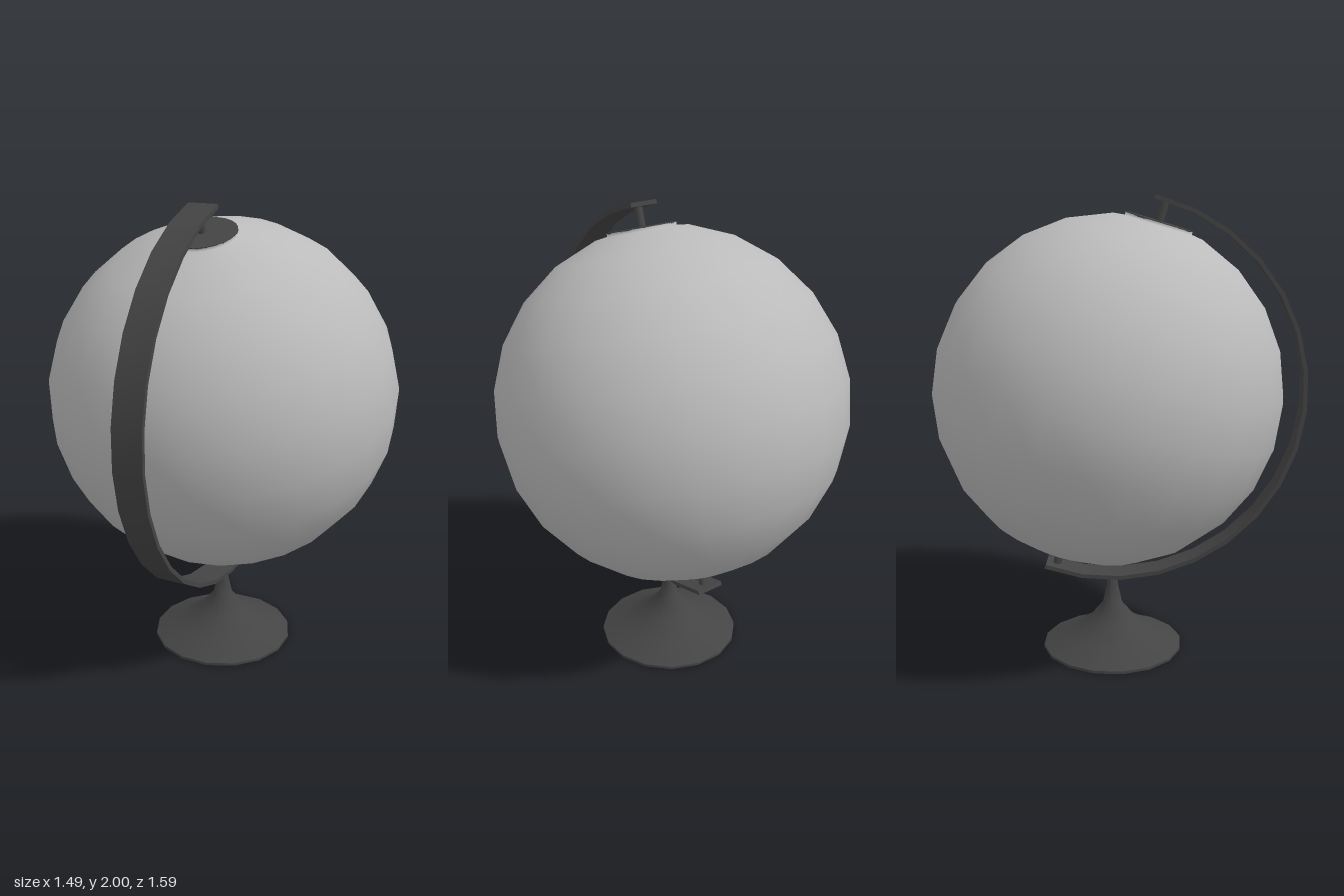
import * as THREE from 'three';
import { toCreasedNormals } from 'three/addons/utils/BufferGeometryUtils.js';

const rad = THREE.MathUtils.degToRad;

export function createModel() {
  const model = new THREE.Group();
  model.name = 'deskGlobe';
  const globeGrey = new THREE.MeshStandardMaterial({ color: 0xbbbbbb });
  globeGrey.name = 'globeGrey';
  const standDark = new THREE.MeshStandardMaterial({ color: 0x444444 });
  standDark.name = 'standDark';

  const add = (parent, name, geometry, material) => {
    const mesh = new THREE.Mesh(geometry, material);
    mesh.name = name;
    parent.add(mesh);
    return mesh;
  };

  // Tilted assembly: its local y is the spin axis, its arm bows towards local +z
  const tilted = new THREE.Group();
  tilted.name = 'tiltedAssembly';
  tilted.position.set(0, 1.178, -0.05);
  tilted.rotation.set(rad(16.5), rad(-11), 0, 'YXZ');
  model.add(tilted);

  // Ball with a small raised lip around each pole
  const R = 0.75, capR = 0.145, capY = 0.743;
  const ball = [new THREE.Vector2(capR, -capY), new THREE.Vector2(capR, -0.731)];
  for (let a = -75; a <= 75; a += 15) {
    ball.push(new THREE.Vector2(R * Math.cos(rad(a)), R * Math.sin(rad(a))));
  }
  ball.push(new THREE.Vector2(capR, 0.731), new THREE.Vector2(capR, capY));
  add(tilted, 'globe', new THREE.LatheGeometry(ball, 24), globeGrey);

  // Pole caps and the pins that hold the ball in the arm
  for (const side of [1, -1]) {
    const end = side > 0 ? 'top' : 'bottom';
    const cap = add(tilted, end + 'Cap', new THREE.CylinderGeometry(capR, capR, 0.006, 24), standDark);
    cap.position.y = side * capY;
    const pin = add(tilted, end + 'Pin', new THREE.CylinderGeometry(0.018, 0.018, 0.1, 12), standDark);
    pin.position.y = side * 0.787;
  }

  // Curved flat arm: a faceted half ring extruded across its width
  const inner = 0.829, outer = 0.847, width = 0.128, steps = 16;
  const ringPoint = (r, i) => {
    const a = rad(-3.2 + (186.4 * i) / steps);
    return new THREE.Vector2(r * Math.sin(a), r * Math.cos(a));
  };
  const outline = [];
  for (let i = 0; i <= steps; i++) outline.push(ringPoint(outer, i));
  for (let i = steps; i >= 0; i--) outline.push(ringPoint(inner, i));
  const armGeometry = new THREE.ExtrudeGeometry(new THREE.Shape(outline), { depth: width, bevelEnabled: false });
  armGeometry.translate(0, 0, -width / 2);
  armGeometry.rotateY(-Math.PI / 2);
  add(tilted, 'arm', toCreasedNormals(armGeometry, rad(30)), standDark);

  // Flared foot with a slim neck
  const foot = [
    [0, 0], [0.313, 0], [0.313, 0.012], [0.21, 0.06], [0.108, 0.122],
    [0.044, 0.2], [0.026, 0.28], [0.02, 0.34], [0, 0.34],
  ].map(([x, y]) => new THREE.Vector2(x, y));
  const base = add(model, 'base', toCreasedNormals(new THREE.LatheGeometry(foot, 16), rad(40)), standDark);
  base.position.z = -0.035;

  return model;
}
